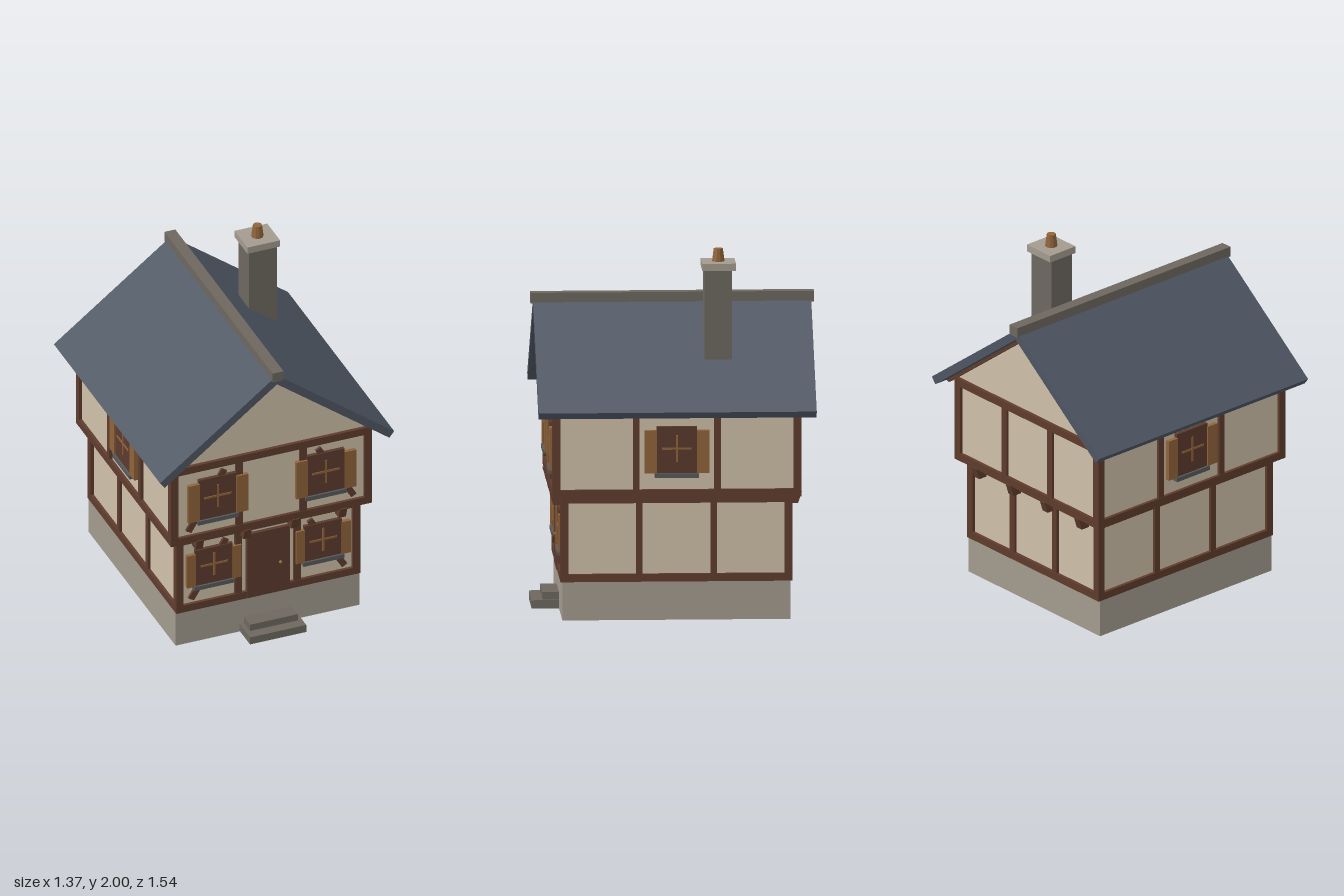
import * as THREE from 'three';

const mat = (name, color) => {
  const m = new THREE.MeshStandardMaterial({ color });
  m.name = name;
  return m;
};

export function createModel() {
  const plaster = mat('plaster', 0xcfc0a8), timber = mat('timber', 0x5f3c2d);
  const panel = mat('dark wood', 0x5b3a2d), shutterWood = mat('shutter wood', 0x90643a);
  const slate = mat('slate', 0x4e5663), stone = mat('pale stone', 0xa39b8e);
  const darkStone = mat('dark stone', 0x6d675f), sillGrey = mat('sill grey', 0x575a5c);
  const house = new THREE.Group();
  house.name = 'house';

  const add = (name, geo, m, parent = house) => {
    const mesh = new THREE.Mesh(geo, m);
    mesh.name = name;
    parent.add(mesh);
    return mesh;
  };
  // Box given by its minimum and maximum on each axis
  const box = (name, m, x0, x1, y0, y1, z0, z1, parent) => {
    const b = add(name, new THREE.BoxGeometry(x1 - x0, y1 - y0, z1 - z0), m, parent);
    b.position.set((x0 + x1) / 2, (y0 + y1) / 2, (z0 + z1) / 2);
    return b;
  };
  // Outline in x and y, extruded along z
  const prism = (name, m, pts, z0, z1, parent) => {
    const shape = new THREE.Shape(pts.map(([x, y]) => new THREE.Vector2(x, y)));
    const geo = new THREE.ExtrudeGeometry(shape, { depth: z1 - z0, bevelEnabled: false });
    const p = add(name, geo, m, parent);
    p.position.z = z0;
    return p;
  };

  // Foundation and entrance steps
  box('foundation', stone, -0.54, 0.54, 0, 0.21, -0.62, 0.62);
  box('lowerStep', darkStone, -0.165, 0.165, 0.005, 0.05, 0.6, 0.77);
  box('upperStep', darkStone, -0.14, 0.14, 0.05, 0.09, 0.6, 0.71);

  // One storey: plaster core with timber rails, corner posts and wall posts
  const storey = (name, hx, hz, y0, y1, postX, postZ, t) => {
    const g = new THREE.Group();
    g.name = name;
    house.add(g);
    const r = 0.018;
    box('plasterWalls', plaster, r - hx, hx - r, y0 + 0.005, y1 - 0.005, r - hz, hz - r, g);
    for (const [a, b] of [[y0, y0 + t], [y1 - t, y1]]) box('rail', timber, -hx, hx, a, b, -hz, hz, g);
    for (const s of [-1, 1]) {
      for (const q of [-1, 1]) {
        const x = s * (hx - t / 2), z = q * (hz - t / 2);
        box('cornerPost', timber, x - t / 2, x + t / 2, y0 + t, y1 - t, z - t / 2, z + t / 2, g);
        const px = s * postX, pz = s * postZ, ez = q * (hz - 0.02), ex = q * (hx - 0.02);
        box('wallPost', timber, px - 0.02, px + 0.02, y0 + t, y1 - t, ez - 0.018, ez + 0.018, g);
        box('wallPost', timber, ex - 0.018, ex + 0.018, y0 + t, y1 - t, pz - 0.018, pz + 0.018, g);
      }
    }
  };
  storey('lowerStorey', 0.54, 0.63, 0.21, 0.685, 0.173, 0.202, 0.043);
  storey('upperStorey', 0.59, 0.677, 0.68, 1.17, 0.187, 0.22, 0.044);

  // Tapered brackets under the front and back overhang
  for (const x of [-0.42, -0.14, 0.14, 0.42]) {
    for (const s of [-1, 1]) {
      const holder = new THREE.Group();
      holder.name = 'bracket';
      holder.position.x = x;
      holder.rotation.y = s * -Math.PI / 2;
      house.add(holder);
      prism('bracketBlock', timber, [[0.6, 0.62], [0.665, 0.62], [0.685, 0.685], [0.6, 0.685]], -0.021, 0.021, holder);
    }
  }

  // Diagonal front braces, behind the windows
  const brace = (x0, y0, x1, y1, z) => {
    const b = add('brace', new THREE.BoxGeometry(0.036, Math.hypot(x1 - x0, y1 - y0), 0.02), timber);
    b.position.set((x0 + x1) / 2, (y0 + y1) / 2, z);
    b.rotation.z = -Math.atan2(x1 - x0, y1 - y0);
  };
  for (const s of [-1, 1]) {
    brace(s * 0.485, 0.75, s * 0.275, 1.1, 0.664);
    brace(s * 0.45, 0.28, s * 0.245, 0.62, 0.617);
  }

  // Window, built on the wall plane z = 0 with its sill top at y = 0
  const windowUnit = (x, y, z, h, shutterW, turn = 0) => {
    const g = new THREE.Group();
    g.name = 'window';
    g.position.set(x, y, z);
    g.rotation.y = turn;
    house.add(g);
    box('casement', panel, -0.11, 0.11, 0, h, -0.02, 0.003, g);
    const c = h * 0.53;
    box('uprightBar', shutterWood, -0.006, 0.006, c - 0.073, c + 0.073, 0, 0.007, g);
    box('crossBar', shutterWood, -0.08, 0.08, c - 0.006, c + 0.006, 0, 0.007, g);
    box('windowSill', sillGrey, -0.12, 0.12, -0.025, 0, -0.02, 0.014, g);
    for (const s of [-1, 1]) {
      const mid = s * (0.108 + shutterW / 2);
      box('shutter', shutterWood, mid - shutterW / 2, mid + shutterW / 2, 0, h - 0.02, -0.012, 0.01, g);
    }
  };
  for (const s of [-1, 1]) {
    windowUnit(s * 0.317, 0.815, 0.677, 0.255, 0.068);
    windowUnit(s * 0.32, 0.365, 0.63, 0.225, 0.052);
    windowUnit(s * 0.59, 0.815, 0, 0.255, 0.068, s * Math.PI / 2);
  }

  // Front door with knob
  box('door', panel, -0.125, 0.125, 0.212, 0.62, 0.6, 0.634);
  const knob = add('doorKnob', new THREE.SphereGeometry(0.01, 8, 6), shutterWood);
  knob.position.set(0.07, 0.4, 0.636);

  // Gable walls, roof slopes and the rafters beneath
  prism('gableWalls', plaster, [[-0.585, 1.168], [0.585, 1.168], [0, 1.625]], -0.657, 0.657);
  for (const s of [-1, 1]) {
    prism('roofSlope', slate, [[0, 1.69], [s * 0.687, 1.163], [s * 0.659, 1.127], [0, 1.633]], -0.755, 0.755);
    for (const z of [-0.665, -0.22, 0.22, 0.665]) {
      prism('rafter', timber, [[0, 1.634], [s * 0.65, 1.134], [s * 0.635, 1.124], [0, 1.612]], z - 0.015, z + 0.015);
    }
  }
  box('ridgeCap', darkStone, -0.032, 0.032, 1.66, 1.718, -0.77, 0.77);

  // Chimney with cap and pot
  box('chimneyStack', darkStone, 0.212, 0.376, 1.36, 1.89, -0.31, -0.16);
  box('chimneyCap', stone, 0.198, 0.39, 1.89, 1.93, -0.33, -0.147);
  const pot = add('chimneyPot', new THREE.CylinderGeometry(0.025, 0.034, 0.07, 10).toNonIndexed(), shutterWood);
  pot.geometry.computeVertexNormals();
  pot.position.set(0.294, 1.965, -0.238);

  return house;
}
